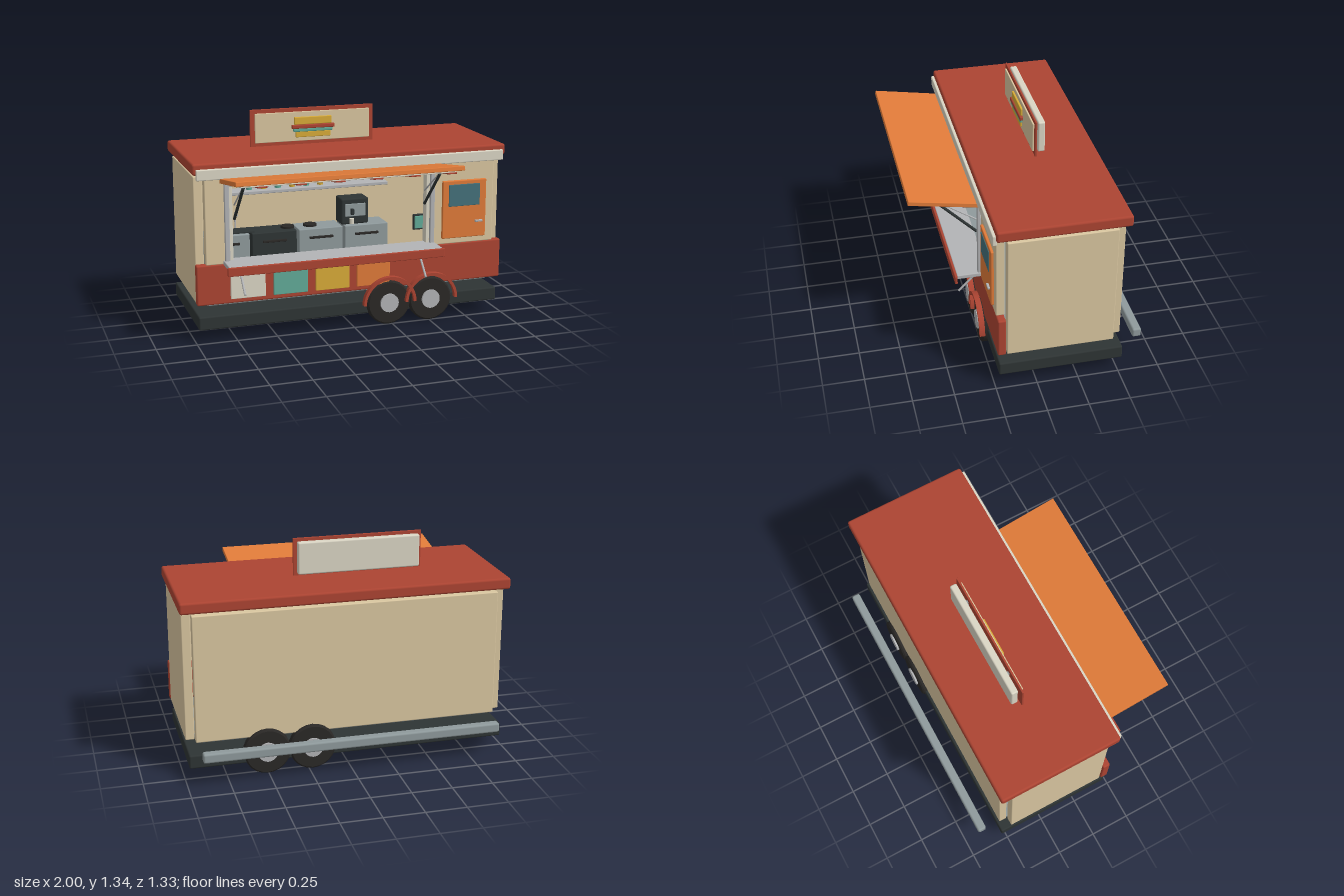
import * as THREE from 'three';
import { RoundedBoxGeometry } from 'three/addons/geometries/RoundedBoxGeometry.js';

const RED = 0xac4432, ORANGE = 0xe07b39, TAN = 0xd9c6a0, CREAM = 0xdad5c4, TEAL = 0x62ab98,
  YELLOW = 0xd8ab38, DARK = 0x2e3434, TYRE = 0x2a2826, STEEL = 0x8f9a9c, SILVER = 0xb2b3b5, GLASS = 0x44707a;

const mats = {};
const mat = (color) => (mats[color] ??= new THREE.MeshStandardMaterial({ color }));

function add(parent, name, geometry, color) {
  const mesh = new THREE.Mesh(geometry, mat(color));
  mesh.name = name;
  parent.add(mesh);
  return mesh;
}

// Softly bevelled box given by its limits on each axis
function box(parent, name, color, [x0, x1], [y0, y1], [z0, z1], bevel = 0.006) {
  const w = x1 - x0, h = y1 - y0, d = z1 - z0;
  const r = Math.min(bevel, Math.min(w, h, d) * 0.3);
  const mesh = add(parent, name, new RoundedBoxGeometry(w, h, d, 2, r), color);
  mesh.position.set((x0 + x1) / 2, (y0 + y1) / 2, (z0 + z1) / 2);
  return mesh;
}

// Straight round bar between two points
function rod(parent, name, color, a, b, radius) {
  const path = new THREE.LineCurve3(new THREE.Vector3(...a), new THREE.Vector3(...b));
  const mesh = add(parent, name, new THREE.CylinderGeometry(radius, radius, path.getLength(), 10), color);
  mesh.position.copy(path.getPoint(0.5));
  mesh.quaternion.setFromUnitVectors(new THREE.Vector3(0, 1, 0), path.getTangent(0));
  return mesh;
}

function group(parent, name) {
  const g = new THREE.Group();
  g.name = name;
  parent.add(g);
  return g;
}

function buildBody(root) {
  const g = group(root, 'body');
  box(g, 'chassis', DARK, [-0.98, 0.975], [0.08, 0.165], [-0.53, 0.225], 0.01);
  box(g, 'floorDeck', STEEL, [-0.92, 0.92], [0.215, 0.245], [-0.47, 0.175]);
  box(g, 'rearBumper', STEEL, [-0.92, 0.91], [0.167, 0.226], [-0.665, -0.61], 0.012);
  for (const s of [-1, 1]) {
    box(g, 'endWall', TAN, s < 0 ? [-0.985, -0.93] : [0.93, 0.985], [0.24, 1.025], [-0.465, 0.18]);
  }
  box(g, 'backWall', TAN, [-0.93, 0.93], [0.24, 1.025], [-0.52, -0.47]);
  box(g, 'frontWallRight', TAN, [-0.93, -0.81], [0.49, 1.03], [0.183, 0.235]);
  box(g, 'frontWallLeft', TAN, [0.52, 0.93], [0.49, 1.03], [0.183, 0.235]);
  box(g, 'windowHeader', TAN, [-0.81, 0.52], [0.985, 1.03], [0.183, 0.235]);
  box(g, 'frontSkirt', RED, [-0.99, 0.99], [0.24, 0.492], [0.187, 0.236], 0.01);
  box(g, 'roof', RED, [-1, 1], [1.043, 1.113], [-0.54, 0.245], 0.014);
  box(g, 'roofTrim', CREAM, [-0.98, 0.98], [1.015, 1.08], [0.238, 0.264]);

  // Coloured panels on the skirt
  [CREAM, TEAL, YELLOW, ORANGE].forEach((c, i) => {
    const x = -0.785 + i * 0.267;
    box(g, 'skirtPanel', c, [x, x + 0.216], [0.27, 0.42], [0.23, 0.25], 0.003);
  });
}

function buildDoor(root) {
  const g = group(root, 'door');
  box(g, 'doorPanel', ORANGE, [0.58, 0.875], [0.528, 0.9], [0.23, 0.252]);
  box(g, 'doorWindow', GLASS, [0.62, 0.83], [0.735, 0.875], [0.245, 0.257], 0.003);
  box(g, 'doorHandle', SILVER, [0.8, 0.85], [0.625, 0.638], [0.25, 0.266], 0.003);
}

function buildServiceWindow(root) {
  const g = group(root, 'serviceWindow');
  for (const x of [-0.815, 0.495]) box(g, 'windowPost', SILVER, [x, x + 0.03], [0.5, 1.0], [0.235, 0.257]);
  for (const x of [-0.785, 0.473]) box(g, 'windowJamb', CREAM, [x, x + 0.022], [0.5, 0.99], [0.185, 0.24], 0.003);
  box(g, 'windowTopRail', SILVER, [-0.8, 0.51], [0.968, 0.99], [0.235, 0.25], 0.003);

  // Counter with red edge and diagonal braces
  box(g, 'servingCounter', SILVER, [-0.825, 0.53], [0.485, 0.513], [0.19, 0.385]);
  box(g, 'counterEdge', RED, [-0.835, 0.54], [0.458, 0.512], [0.383, 0.4], 0.005);
  for (const x of [-0.725, 0.43]) rod(g, 'counterBrace', SILVER, [x, 0.455, 0.235], [x, 0.325, 0.36], 0.007);

  // Hinged awning
  const a = group(g, 'awning');
  a.position.set(0, 1.003, 0.248);
  a.rotation.x = -0.167;
  box(a, 'awningPanel', ORANGE, [-0.84, 0.545], [-0.013, 0.015], [0, 0.42], 0.004);
  box(a, 'awningLining', CREAM, [-0.8, 0.505], [-0.024, -0.013], [0.05, 0.37], 0.003);
  for (let i = 0; i < 6; i++) {
    const x = -0.673 + i * 0.2315;
    box(a, 'awningStripe', RED, [x - 0.029, x + 0.029], [-0.032, -0.022], [0.06, 0.37], 0.002);
  }
  for (const x of [-0.755, 0.457]) {
    rod(g, 'awningStrut', DARK, [x, 0.77, 0.25], [x, 1.01, 0.49], 0.009);
    rod(g, 'awningStay', SILVER, [x, 0.855, 0.25], [x, 1.01, 0.48], 0.005);
  }
}

function buildKitchen(root) {
  const g = group(root, 'kitchen');
  // Base cabinets with handles
  [STEEL, DARK, STEEL, STEEL].forEach((c, i) => {
    const x = -0.83 + i * 0.315;
    box(g, 'cabinet', c, [x, x + 0.3], [0.245, 0.515], [-0.465, -0.29]);
    box(g, 'cabinetHandle', TYRE, [x + 0.07, x + 0.23], [0.45, 0.465], [-0.29, -0.275], 0.003);
  });

  // Sink with tap, and hob plates
  box(g, 'sinkBasin', DARK, [-0.69, -0.49], [0.512, 0.525], [-0.43, -0.32], 0.003);
  rod(g, 'tapStem', SILVER, [-0.59, 0.515, -0.44], [-0.59, 0.625, -0.44], 0.006);
  rod(g, 'tapSpout', SILVER, [-0.59, 0.622, -0.44], [-0.59, 0.622, -0.37], 0.005);
  for (const x of [-0.255, -0.1]) {
    rod(g, 'hobPlate', TYRE, [x, 0.512, -0.38], [x, 0.528, -0.38], 0.045).geometry =
      new THREE.CylinderGeometry(0.045, 0.045, 0.016, 20);
  }

  // Coffee machine
  box(g, 'coffeeMachine', DARK, [0.1, 0.29], [0.515, 0.69], [-0.45, -0.32], 0.012);
  box(g, 'coffeeMachineFace', STEEL, [0.125, 0.265], [0.57, 0.655], [-0.325, -0.312], 0.003);
  box(g, 'coffeeSpout', DARK, [0.16, 0.18], [0.585, 0.625], [-0.315, -0.29], 0.003);
  rod(g, 'coffeeCup', CREAM, [0.165, 0.525, -0.3], [0.165, 0.56, -0.3], 0.016);

  // Shelf of cups
  box(g, 'cupShelf', SILVER, [-0.73, 0.435], [0.76, 0.782], [-0.47, -0.35], 0.004);
  for (let i = 0; i < 6; i++) {
    const x = -0.5 + i * 0.096;
    const cup = add(g, 'cup', new THREE.CylinderGeometry(0.024, 0.02, 0.062, 16), i % 2 ? YELLOW : TEAL);
    cup.position.set(x, 0.813, -0.41);
  }

  // Extractor hood and its duct
  box(g, 'extractorHood', STEEL, [-0.18, 0.37], [0.855, 0.955], [-0.47, -0.27], 0.01);
  box(g, 'hoodVent', DARK, [-0.14, 0.33], [0.865, 0.915], [-0.275, -0.262], 0.004);
  box(g, 'ceilingLamp', CREAM, [-0.6, 0.3], [1.01, 1.043], [-0.18, -0.1], 0.004);

  // Order screen beside the window
  box(g, 'orderScreenCase', DARK, [0.425, 0.52], [0.575, 0.675], [0.13, 0.15], 0.004);
  box(g, 'orderScreen', TEAL, [0.433, 0.512], [0.585, 0.665], [0.145, 0.156], 0.003);
}

function buildWheels(root) {
  for (const x of [0.227, 0.505]) {
    for (const [z, s] of [[0.227, 1], [-0.514, -1]]) {
      const w = group(root, 'wheel');
      w.position.set(x, 0.146, z);
      w.rotation.x = s * Math.PI / 2;
      const profile = [[0, -0.03], [0.132, -0.03], [0.142, -0.02], [0.142, 0.02], [0.132, 0.03], [0, 0.03]];
      // Separate rings of the profile keep the tyre edges crisp
      for (let i = 0; i < profile.length - 1; i++) {
        const pts = [profile[i], profile[i + 1]].map((p) => new THREE.Vector2(...p));
        add(w, 'tyre', new THREE.LatheGeometry(pts, 24), TYRE);
      }
      add(w, 'hub', new THREE.CylinderGeometry(0.06, 0.06, 0.084, 20), SILVER);
    }
    // Arched mudguard on the serving side
    const arch = new THREE.Shape();
    arch.absarc(0, 0, 0.175, 0, Math.PI, false);
    arch.absarc(0, 0, 0.157, Math.PI, 0, true);
    const guard = add(root, 'mudguard', new THREE.ExtrudeGeometry(arch, { depth: 0.034, bevelEnabled: false, curveSegments: 20 }), RED);
    guard.position.set(x, 0.146, 0.247);
  }
}

function buildSign(root) {
  const g = group(root, 'roofSign');
  box(g, 'signFrame', RED, [-0.55, 0.255], [1.11, 1.345], [-0.165, -0.153], 0.003);
  box(g, 'signFace', CREAM, [-0.52, 0.227], [1.135, 1.32], [-0.156, -0.143], 0.003).material = mat(TAN);
  box(g, 'signBack', CREAM, [-0.525, 0.235], [1.13, 1.33], [-0.22, -0.176], 0.01);
  for (const x of [-0.4, 0.1]) box(g, 'signMount', STEEL, [x, x + 0.02], [1.15, 1.3], [-0.18, -0.16], 0.002);

  // Layered burger emblem
  const layers = [['bunTop', YELLOW, 0.122, 1.24, 1.288, -0.13], ['patty', RED, 0.139, 1.215, 1.24, -0.122],
    ['lettuce', TEAL, 0.128, 1.195, 1.217, -0.126], ['bunBottom', YELLOW, 0.113, 1.16, 1.197, -0.13]];
  for (const [name, c, r, y0, y1, z] of layers) box(g, name, c, [-0.148 - r, -0.148 + r], [y0, y1], [-0.145, z], 0.006);
}

export function createModel() {
  const root = new THREE.Group();
  root.name = 'foodTrailer';
  for (const build of [buildBody, buildDoor, buildServiceWindow, buildKitchen, buildWheels, buildSign]) build(root);
  return root;
}
